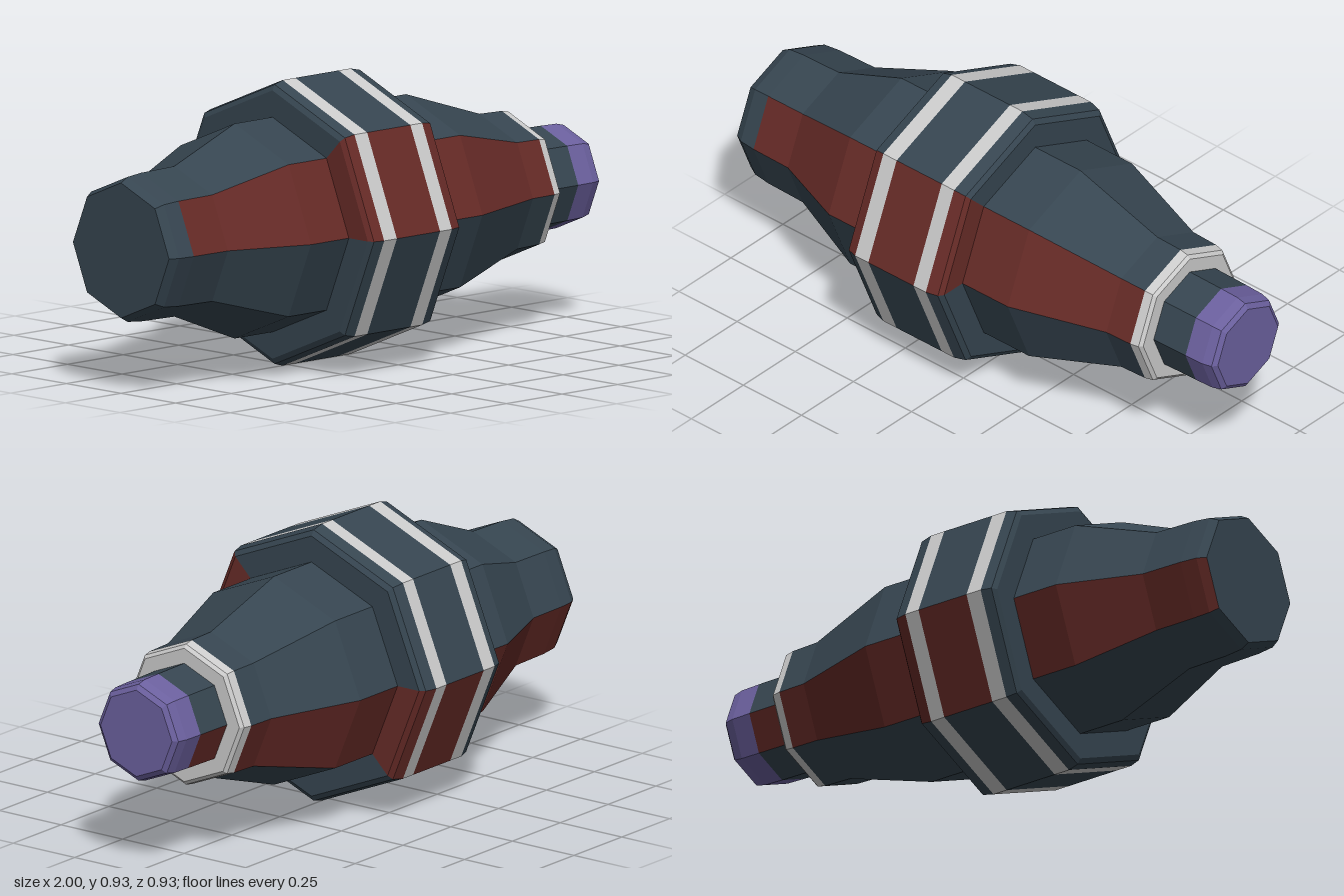
import * as THREE from 'three';
import { mergeGeometries } from 'three/addons/utils/BufferGeometryUtils.js';

const SIDES = 8, STEP = Math.PI * 2 / SIDES, AXIS_Y = 0.465;
// Facets carrying the red stripe: front upper and back lower
const FRONT = 7, BACK = 3;

const paint = color => new THREE.MeshStandardMaterial({ color, flatShading: true });

export function createModel() {
  const group = new THREE.Group();
  const blue = paint(0x364550), red = paint(0x672b27), purple = paint(0x6b609e), grey = paint(0xcccccc);

  // Turn a profile of [x, radius] around the x axis, keeping only the given facets
  function addFacets(name, profile, facets, material) {
    const points = profile.map(([x, r]) => new THREE.Vector2(r, x));
    const parts = facets.map(i => new THREE.LatheGeometry(points, 1, i * STEP, STEP));
    const geometry = mergeGeometries(parts).rotateZ(-Math.PI / 2).translate(0, AXIS_Y, 0);
    const mesh = new THREE.Mesh(geometry, material);
    mesh.name = name;
    group.add(mesh);
  }

  // Full octagonal section; the listed facets are red, the rest take the base colour
  function addSection(name, profile, material, redFacets = []) {
    const all = [...Array(SIDES).keys()];
    addFacets(name, profile, all.filter(i => !redFacets.includes(i)), material);
    if (redFacets.length) addFacets(name + 'Stripe', profile, redFacets, red);
  }

  // Closed rear end and the tapered rear body
  addSection('rearCap', [[-1, 0], [-1, 0.22]], blue);
  addSection('rearRim', [[-1, 0.22], [-0.97, 0.236], [-0.91, 0.242]], blue, [BACK]);
  addSection('rearBody', [[-0.91, 0.242], [-0.76, 0.245], [-0.49, 0.35], [-0.32, 0.35]], blue, [FRONT, BACK]);

  // Wide hub with two flush grey bands
  addSection('hubRearFace', [[-0.32, 0.35], [-0.32, 0.437], [-0.31, 0.455], [-0.274, 0.465]], blue, [FRONT]);
  addSection('hubRearBand', [[-0.274, 0.465], [-0.217, 0.465]], grey);
  addSection('hubMiddle', [[-0.217, 0.465], [-0.023, 0.465]], blue, [FRONT, BACK]);
  addSection('hubFrontBand', [[-0.023, 0.465], [0.03, 0.465]], grey);
  addSection('hubFrontFace', [[0.03, 0.465], [0.073, 0.455], [0.085, 0.437], [0.085, 0.35]], blue, [FRONT, BACK]);

  // Tapered forward body and its collar
  addSection('forwardBody', [[0.085, 0.35], [0.28, 0.35], [0.61, 0.245], [0.71, 0.242]], blue, [FRONT, BACK]);
  addSection('collar', [[0.71, 0.242], [0.74, 0.236], [0.75, 0.224], [0.75, 0.174]], grey);

  // Narrow neck and coloured tip
  addSection('neck', [[0.75, 0.174], [0.885, 0.172]], blue, [BACK]);
  addSection('tip', [[0.885, 0.172], [0.955, 0.17], [0.988, 0.162], [1, 0.145], [1, 0]], purple);

  return group;
}
